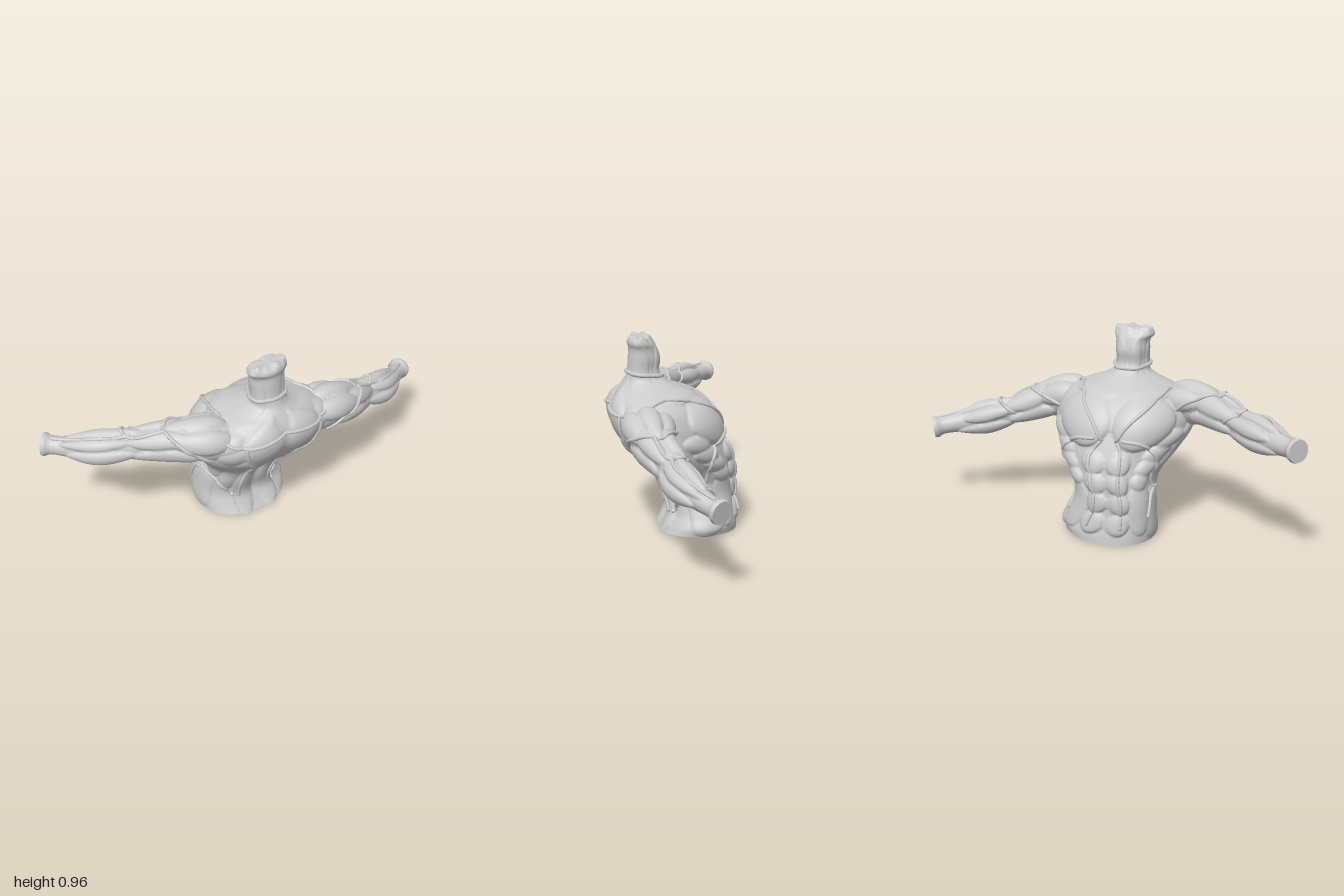
import * as THREE from 'three';

const material = new THREE.MeshStandardMaterial({ color: 0xcccccc, roughness: 0.7 });
const TAU = Math.PI * 2;
const V = (x, y, z) => new THREE.Vector3(x, y, z);
const smooth = THREE.MathUtils.smoothstep;

// Smooth table lookup: rows of [key, value, value...]
function table(rows) {
  const n = rows[0].length - 1;
  const f = new THREE.CubicInterpolant(rows.map(r => r[0]), rows.flatMap(r => r.slice(1)), n, new Float32Array(n));
  return k => [...f.evaluate(k)];
}

// Height of overlapping muscle domes at (angle, v); the maximum leaves a crease between them
function muscles(pads, angle, v) {
  let h = 0;
  for (const [a, pv, wa, hv, amp] of pads) {
    const d = Math.atan2(Math.sin(angle - a), Math.cos(angle - a)) / wa;
    const e = (v - pv) / hv;
    h = Math.max(h, amp * Math.sqrt(Math.max(0, 1 - d * d - e * e)));
  }
  return h;
}

// Closed skin over a surface function, with flat end caps
function loft(surface, v0, v1, around, along) {
  const pos = [], index = [];
  const ring = v => {
    const start = pos.length / 3;
    for (let i = 0; i < around; i++) pos.push(...surface(i / around * TAU, v).toArray());
    return start;
  };
  for (let j = 0; j <= along; j++) {
    const b = ring(v0 + (v1 - v0) * j / along);
    if (!j) continue;
    for (let i = 0; i < around; i++) {
      const k = (i + 1) % around, a = b - around;
      index.push(a + i, b + i, a + k, a + k, b + i, b + k);
    }
  }
  for (const [v, top] of [[v0, false], [v1, true]]) {
    const s = ring(v), c = pos.length / 3, mid = V(0, 0, 0);
    for (let i = 0; i < around; i++) mid.add(V().fromArray(pos, (s + i) * 3));
    pos.push(...mid.divideScalar(around).toArray());
    for (let i = 0; i < around; i++) {
      const k = (i + 1) % around;
      index.push(c, top ? s + k : s + i, top ? s + i : s + k);
    }
  }
  const g = new THREE.BufferGeometry();
  g.setAttribute('position', new THREE.Float32BufferAttribute(pos, 3));
  g.setIndex(index);
  g.computeVertexNormals();
  return g;
}

// Torso and neck outline: [y, xMin, xMax, zChest, zBack]
const outline = table([
  [0, -0.24, 0.22, -0.295, 0.1], [0.04, -0.245, 0.23, -0.295, 0.08], [0.1, -0.245, 0.21, -0.288, 0.06],
  [0.2, -0.24, 0.175, -0.283, 0.085], [0.3, -0.235, 0.205, -0.278, 0.13], [0.4, -0.295, 0.285, -0.255, 0.235],
  [0.5, -0.355, 0.33, -0.215, 0.308], [0.58, -0.365, 0.33, -0.178, 0.335], [0.64, -0.335, 0.295, -0.135, 0.332],
  [0.68, -0.27, 0.23, -0.08, 0.315], [0.71, -0.19, 0.145, -0.025, 0.297], [0.74, -0.13, 0.085, 0.04, 0.277],
  [0.78, -0.12, 0.065, 0.077, 0.262], [0.85, -0.115, 0.058, 0.083, 0.248], [0.9, -0.115, 0.056, 0.1, 0.24],
  [0.92, -0.133, 0.064, 0.11, 0.244], [0.94, -0.13, 0.063, 0.125, 0.238], [0.955, -0.122, 0.058, 0.138, 0.222],
]);

// Muscles on one half: [angle from chest, y, half angle, half height, bulge]
const halfPads = [
  ...[0.1, 0.2, 0.295, 0.385].map(y => [0.29, y, 0.29, 0.056, 0.022]),   // abdominals
  [0.62, 0.565, 0.62, 0.12, 0.042],                                      // chest
  ...[0.3, 0.36, 0.42, 0.48].map((y, i) => [0.95 + i * 0.1, y, 0.3, 0.045, 0.024]), // ribs
  [0.95, 0.17, 0.45, 0.13, 0.018], [1.55, 0.13, 0.5, 0.13, 0.015],       // flanks
  [2.0, 0.42, 0.55, 0.19, 0.028], [2.45, 0.34, 0.4, 0.2, 0.022],         // lats
  [2.86, 0.2, 0.26, 0.24, 0.022],                                        // lower back
  [2.3, 0.55, 0.32, 0.07, 0.028], [2.1, 0.61, 0.4, 0.06, 0.028],         // shoulder blades
  [2.62, 0.47, 0.3, 0.07, 0.025], [2.8, 0.58, 0.33, 0.14, 0.026],        // upper back
  [0.75, 0.68, 0.7, 0.025, 0.02],                                        // collarbone
  [0.5, 0.82, 0.4, 0.1, 0.008], [1.9, 0.8, 0.6, 0.14, 0.008],            // neck cords
];
const torsoPads = halfPads.flatMap(([a, ...r]) => [[a, ...r], [-a, ...r]]);

function torsoSurface(t, y, lift = 0) {
  const [x0, x1, z0, z1] = outline(y);
  const s = Math.sin(t), c = -Math.cos(t), square = y < 0.7 ? 0.84 : 0.95;
  const h = muscles(torsoPads, t, y) - 0.016 * smooth(0.8 - Math.abs(y - 0.45), 0.3, 0.5) + lift;
  // The chest side is narrower than the back and swings toward the right
  const chest = Math.min(c, 0) * (1 - smooth(y, 0.66, 0.74));
  const width = (x1 - x0) / 2 * (1 + chest * (0.1 + 0.24 * smooth(y, 0.25, 0.45)));
  const dx = s && Math.sign(s) * Math.abs(s) ** square * (width + h);
  const dz = c && Math.sign(c) * Math.abs(c) ** square * ((z1 - z0) / 2 + h);
  const x = (x0 + x1) / 2 + dx + 0.03 * chest;
  const ragged = smooth(y, 0.9, 0.955) * 0.005 * (Math.sin(t * 5) + Math.sin(t * 11 + 1) * 0.5);
  const hem = 0.012 * smooth(x, 0.05, 0.23) * Math.max(0, 1 - y / 0.1);
  return V(x, y + ragged + hem, (z0 + z1) / 2 + dz);
}

// Arm thickness along its length, and muscles: [angle from top, s, half angle, half length, bulge]
const armRadius = table([[0, 0.1], [0.17, 0.108], [0.33, 0.087], [0.5, 0.07], [0.66, 0.077],
  [0.83, 0.056], [0.94, 0.044], [0.965, 0.05], [0.98, 0.056], [1, 0.052]]);
const armPads = [
  [-1.1, 0.2, 0.6, 0.15, 0.03], [0, 0.23, 0.55, 0.15, 0.024], [1.1, 0.2, 0.6, 0.15, 0.032], // shoulder lobes
  [0.9, 0.41, 0.75, 0.13, 0.026], [2.1, 0.4, 0.6, 0.14, 0.022],           // biceps
  [-0.9, 0.4, 0.6, 0.13, 0.024], [-2.2, 0.38, 0.7, 0.16, 0.024],          // triceps
  [0.2, 0.66, 0.45, 0.18, 0.02], [1.2, 0.64, 0.5, 0.16, 0.02], [2.4, 0.68, 0.6, 0.17, 0.02],
  [-0.8, 0.7, 0.45, 0.18, 0.018], [-1.9, 0.67, 0.6, 0.17, 0.02],          // forearm
];

function armSurface(points, side) {
  const curve = new THREE.CatmullRomCurve3(points.map(p => V(...p)));
  return (phi, s, lift = 0) => {
    const T = curve.getTangent(s), U = V(0, 1, 0).addScaledVector(T, -T.y).normalize();
    const S = U.clone().cross(T);
    const r = armRadius(s)[0] + muscles(armPads, phi * side, s) - 0.008 * (1 - smooth(s, 0.8, 0.93)) + lift;
    return curve.getPoint(s).addScaledVector(U, r * Math.cos(phi)).addScaledVector(S, r * Math.sin(phi));
  };
}

export function createModel() {
  const model = new THREE.Group();
  const add = (name, geometry) => {
    const mesh = new THREE.Mesh(geometry, material);
    mesh.name = name;
    model.add(mesh);
  };
  // Raised cord that follows a surface through [angle, v] points
  const cord = (name, surface, path, closed = false, r = 0.009) => {
    const guide = new THREE.CatmullRomCurve3(path.map(([a, v]) => V(a, v, 0)));
    const pts = guide.getPoints(40).map(p => surface(p.x, p.y, 0.002));
    if (closed) pts.pop();
    add(name, new THREE.TubeGeometry(new THREE.CatmullRomCurve3(pts, closed), 90, r, 8, closed));
    if (!closed) for (const p of [pts[0], pts[pts.length - 1]]) add(name + 'End', new THREE.SphereGeometry(r, 8, 6).translate(p.x, p.y, p.z));
  };

  add('torsoAndNeck', loft(torsoSurface, 0, 0.955, 180, 160));

  const arms = [
    ['right', -1, [[-0.2, 0.58, 0.16], [-0.33, 0.605, 0.128], [-0.46, 0.615, 0.06], [-0.6, 0.597, -0.035],
      [-0.75, 0.58, -0.13], [-0.86, 0.575, -0.22], [-0.955, 0.58, -0.3]]],
    ['left', 1, [[0.17, 0.56, 0.18], [0.3, 0.56, 0.185], [0.44, 0.53, 0.17], [0.58, 0.48, 0.12],
      [0.73, 0.437, 0.085], [0.86, 0.41, 0.03], [0.975, 0.39, -0.035]]],
  ];
  for (const [label, side, points] of arms) {
    const arm = armSurface(points, side);
    add(label + 'Arm', loft(arm, 0, 1, 64, 130));

    // Cords on the arm
    const onArm = (name, path) => cord(label + name, arm, path.map(([a, v]) => [a * side, v]));
    onArm('ShoulderCord', [[-2.4, 0.14], [-1.7, 0.24], [-0.9, 0.34], [0, 0.38], [0.9, 0.33], [1.5, 0.22], [1.9, 0.12]]);
    onArm('ElbowCord', [[-0.4, 0.37], [-0.6, 0.48], [0, 0.56], [0.8, 0.54], [1.5, 0.5]]);
    onArm('ForearmCord', [[-0.3, 0.53], [-0.45, 0.65], [-0.3, 0.8], [-0.2, 0.94]]);

    // Cords on the torso
    const onTorso = (name, path) => cord(label + name, torsoSurface, path.map(([a, v]) => [a * side, v]));
    onTorso('CollarCord', [[1.8, 0.665], [1.45, 0.685], [0.9, 0.665], [0.5, 0.62], [0.25, 0.56], [0.12, 0.49]]);
    onTorso('BellyCord', [[0.12, 0.49], [0.3, 0.42], [0.28, 0.25], [0.33, 0.09]]);
    onTorso('RibCord', [[0.25, 0.5], [0.6, 0.485], [1.05, 0.42], [1.4, 0.31], [1.58, 0.24]]);
    onTorso('HipCord', [[2.65, 0.11], [2.3, 0.18], [1.9, 0.225], [1.58, 0.24], [1.33, 0.21], [1.18, 0.13]]);
    onTorso('BackCord', [[2.55, 0.615], [2.66, 0.5], [2.82, 0.35], [2.82, 0.22], [2.8, 0.11]]);
    onTorso('ShoulderBladeCord', [[1.8, 0.665], [2.1, 0.645], [2.5, 0.615], [3.14, 0.63]]);
  }

  // Neck band
  cord('neckBand', torsoSurface, Array.from({ length: 25 }, (_, i) => [i / 24 * TAU, 0.775 - 0.01 * Math.cos(i / 24 * TAU)]), true, 0.01);
  return model;
}
